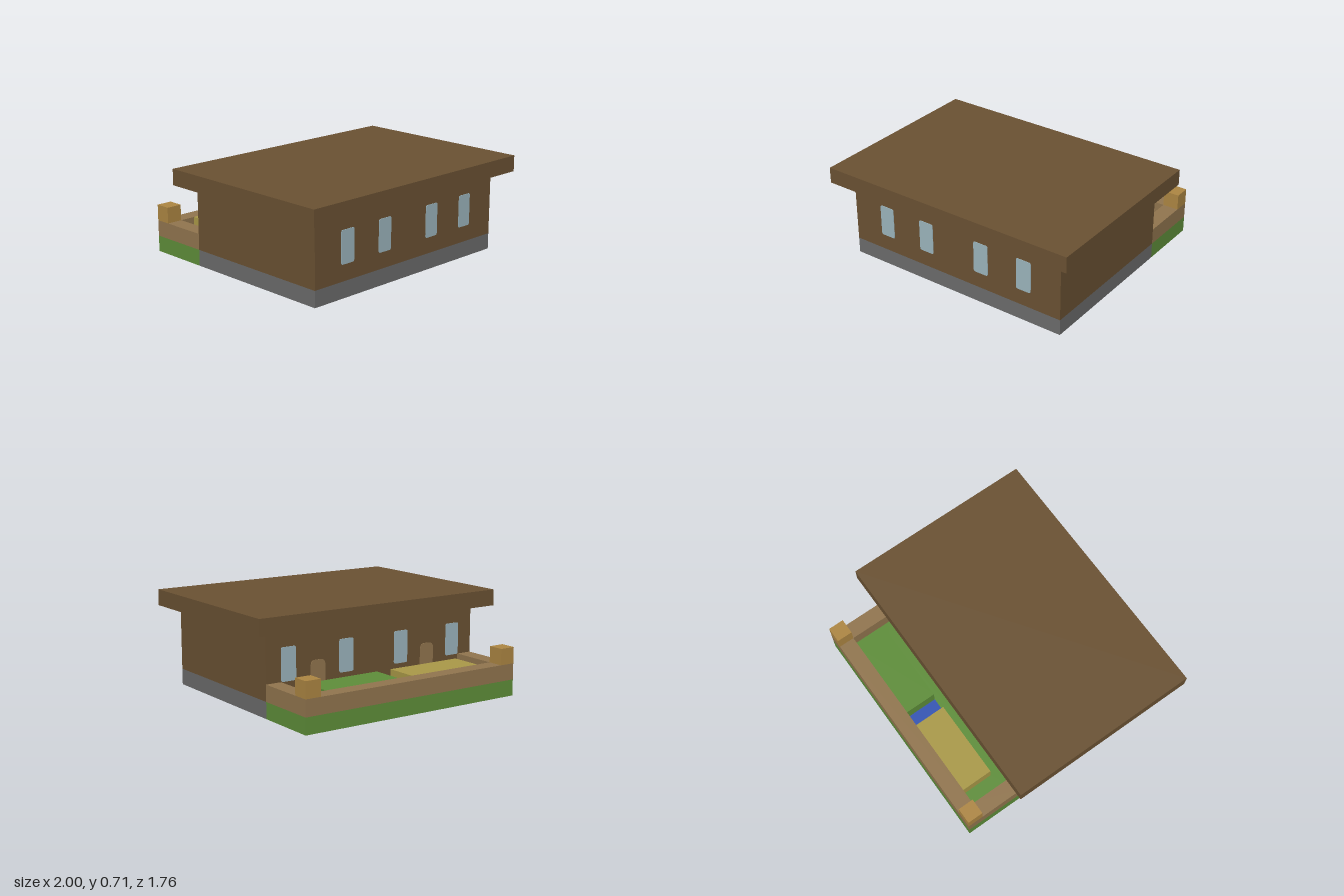
import * as THREE from 'three';

const U = 2 / 17; // one building block

const colours = {
  darkWood: 0x6b5233, stone: 0x6c6c6c, grass: 0x5f8f3a, lightWood: 0x92764f,
  lampGold: 0xae8743, wheat: 0xab9a48, water: 0x3455b5, glass: 0x9db6be,
};

export function createModel() {
  const model = new THREE.Group();
  const mats = {};
  for (const [name, color] of Object.entries(colours)) {
    mats[name] = new THREE.MeshStandardMaterial({ color });
    mats[name].name = name;
  }

  const add = (name, geometry, mat) => {
    const mesh = new THREE.Mesh(geometry, mats[mat]);
    mesh.name = name;
    model.add(mesh);
    return mesh;
  };

  // Box given by its limits in block units
  const block = (name, mat, x0, x1, y0, y1, z0, z1) => {
    const g = new THREE.BoxGeometry((x1 - x0) * U, (y1 - y0) * U, (z1 - z0) * U);
    g.translate((x0 + x1) / 2 * U, (y0 + y1) / 2 * U, (z0 + z1) / 2 * U);
    return add(name, g, mat);
  };

  // One-block-high slab with a rectangular opening; limits are [x0, x1, z0, z1]
  const ring = (name, mat, outer, inner) => {
    const corners = ([x0, x1, z0, z1]) =>
      [[x0, -z1], [x1, -z1], [x1, -z0], [x0, -z0]].map(([x, y]) => new THREE.Vector2(x * U, y * U));
    const shape = new THREE.Shape(corners(outer));
    shape.holes.push(new THREE.Path(corners(inner).reverse()));
    const g = new THREE.ExtrudeGeometry(shape, { depth: U, bevelEnabled: false });
    g.rotateX(-Math.PI / 2);
    return add(name, g, mat);
  };

  // Thin upright plate with rounded corners, one block wide and two high
  const plate = (name, mat, x, y, z, back, rTop, rBottom) => {
    const w = U / 2, h = 2 * U, s = new THREE.Shape();
    s.moveTo(-w + rBottom, 0);
    s.lineTo(w - rBottom, 0);
    s.quadraticCurveTo(w, 0, w, rBottom);
    s.lineTo(w, h - rTop);
    s.quadraticCurveTo(w, h, w - rTop, h);
    s.lineTo(-w + rTop, h);
    s.quadraticCurveTo(-w, h, -w, h - rTop);
    s.lineTo(-w, rBottom);
    s.quadraticCurveTo(-w, 0, -w + rBottom, 0);
    const g = new THREE.ExtrudeGeometry(s, { depth: 0.004, bevelEnabled: false, curveSegments: 6 });
    const mesh = add(name, g, mat);
    mesh.position.set(x * U, y * U, z * U);
    if (back) mesh.rotation.y = Math.PI;
  };

  // House
  ring('foundation', 'stone', [-7.5, 7.5, -3.5, 6.5], [-6.5, 6.5, -2.5, 5.5]);
  block('floor', 'lightWood', -6.5, 6.5, 0, 1, -2.5, 5.5);
  block('houseWalls', 'darkWood', -7.5, 7.5, 1, 5, -3.5, 6.5);
  block('roof', 'darkWood', -8.5, 8.5, 5, 6, -4.5, 7.5);

  // Windows and back doors
  for (const side of [-1, 1]) {
    for (const x of [2, 5]) plate('frontWindow', 'glass', side * x, 2, 6.5, false, 0.015, 0.015);
    for (const x of [2, 6]) plate('backWindow', 'glass', side * x, 2, -3.5, true, 0.015, 0.015);
    plate('backDoor', 'lightWood', side * 4, 1, -3.5, true, 0.04, 0);
  }

  // Garden ground with a planting trench
  ring('gardenGround', 'grass', [-7.5, 7.5, -7.5, -3.5], [-5.5, 5.5, -6.5, -4.5]);
  block('waterChannel', 'water', -0.5, 0.5, 0, 1, -6.5, -4.5);
  block('leftSoil', 'darkWood', 0.5, 5.5, 0, 1, -6.5, -4.5);
  block('rightSoil', 'darkWood', -5.5, -0.5, 0, 1, -6.5, -4.5);
  block('greenCrop', 'grass', 0.5, 5.5, 1, 2, -6.5, -4.5);
  block('wheatCrop', 'wheat', -5.5, -0.5, 1, 2, -6.5, -4.5);

  // Garden wall with corner posts
  block('gardenBackWall', 'lightWood', -7.5, 7.5, 1, 2, -7.5, -6.5);
  for (const x of [-7, 7]) {
    block('gardenSideWall', 'lightWood', x - 0.5, x + 0.5, 1, 2, -6.5, -3.5);
    block('cornerPost', 'lampGold', x - 0.5, x + 0.5, 2, 3, -7.5, -6.5);
  }

  return model;
}
